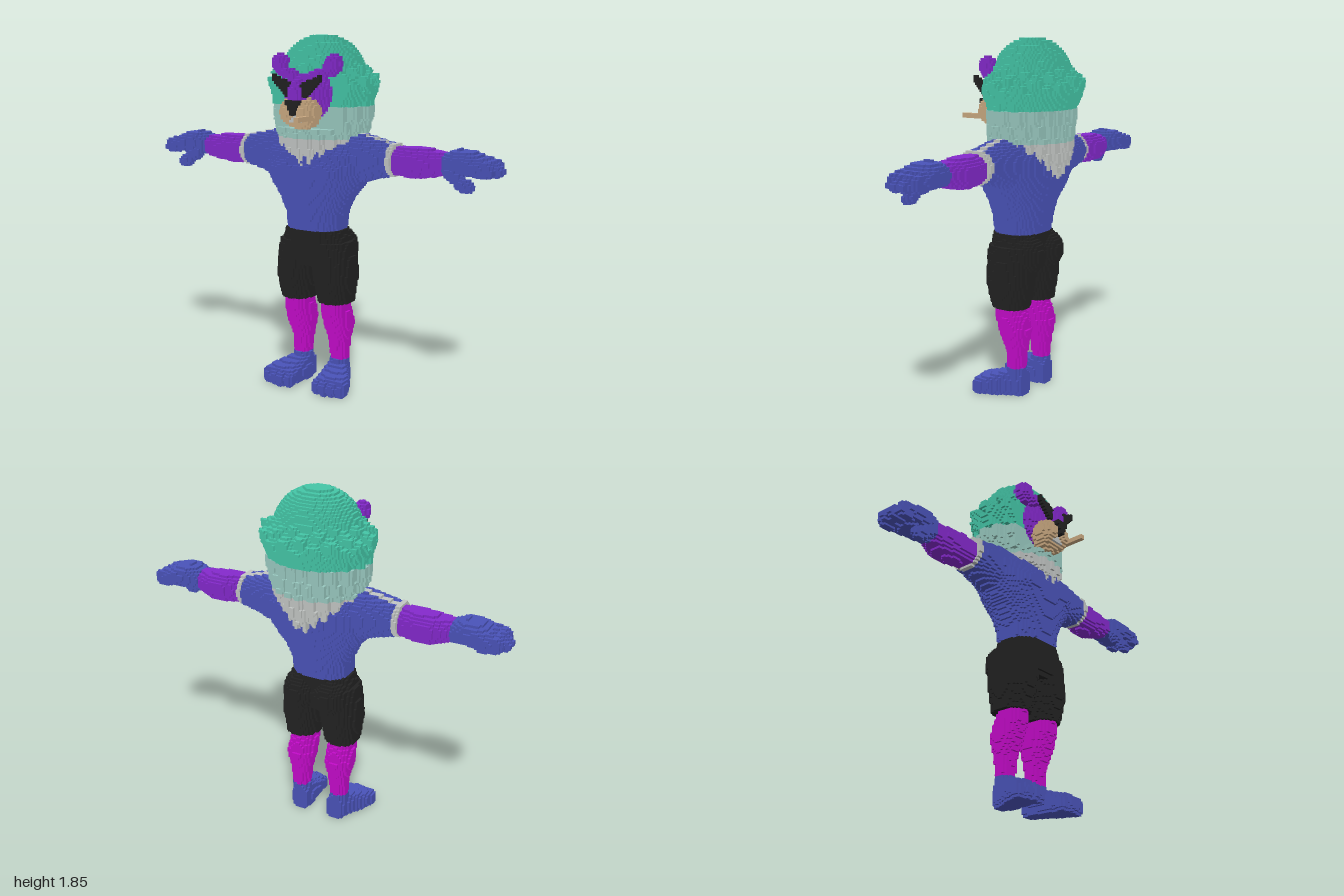
import * as THREE from 'three';

// Voxel figure: solids are sampled onto a fine grid, then exposed cube faces become meshes per part.
const S = 0.0125, N = [160, 156, 52], ORIGIN = [-1, 0, -0.325];
const grid = new Uint8Array(N[0] * N[1] * N[2]);
const at = (i, j, k) => (i < 0 || j < 0 || k < 0 || i >= N[0] || j >= N[1] || k >= N[2]) ? 0 : grid[(k * N[1] + j) * N[0] + i];

const colours = {
  blueSkin: 0x4a53b9, purpleSkin: 0x8429cc, magentaSock: 0xc40bca, black: 0x222222,
  tealHair: 0x44c6a7, paleTealHair: 0x99c9c0, greyHair: 0xc2c6c4, tan: 0xcaa981,
};

// Ellipsoid with centre c and radii r, optionally tilted in the front plane
const ball = (c, r, tilt = 0) => {
  const co = Math.cos(tilt), si = Math.sin(tilt);
  return (x, y, z) => {
    const dx = x - c[0], dy = y - c[1];
    return ((dx * co + dy * si) / r[0]) ** 2 + ((dy * co - dx * si) / r[1]) ** 2 + ((z - c[2]) / r[2]) ** 2 < 1;
  };
};
const box = (a, b) => (x, y, z) => x > a[0] && x < b[0] && y > a[1] && y < b[1] && z > a[2] && z < b[2];
const any = (...tests) => (x, y, z) => tests.some(t => t(x, y, z));

// Interpolates stations [t, centreA, centreB, halfA, halfB]
function sample(st, t) {
  if (t < st[0][0] || t > st[st.length - 1][0]) return null;
  let i = 1;
  while (i < st.length - 1 && st[i][0] < t) i++;
  const f = (t - st[i - 1][0]) / (st[i][0] - st[i - 1][0]);
  return st[i].map((b, n) => st[i - 1][n] + (b - st[i - 1][n]) * f);
}
// Rounded cross-sections swept along one axis
const loft = (axis, st, power = 2.3) => (x, y, z) => {
  const [t, a, b] = axis === 'y' ? [y, x, z] : axis === 'x' ? [x, y, z] : [z, x, y];
  const s = sample(st, t);
  return !!s && Math.abs((a - s[1]) / s[3]) ** power + Math.abs((b - s[2]) / s[4]) ** power < 1;
};

export function createModel() {
  grid.fill(0);
  const parts = [null];
  const mats = {};
  for (const [name, color] of Object.entries(colours)) {
    mats[name] = new THREE.MeshStandardMaterial({ color });
    mats[name].name = name;
  }
  const paint = (name, mat, test) => {
    const id = name ? parts.push({ name, mat }) - 1 : 0;
    for (let k = 0; k < N[2]; k++) for (let j = 0; j < N[1]; j++) for (let i = 0; i < N[0]; i++)
      if (test(ORIGIN[0] + (i + 0.5) * S, (j + 0.5) * S, ORIGIN[2] + (k + 0.5) * S)) grid[(k * N[1] + j) * N[0] + i] = id;
  };
  const pair = (name, mat, test) => {
    paint('left' + name, mat, (x, y, z) => x > 0 && test(x, y, z));
    paint('right' + name, mat, (x, y, z) => x < 0 && test(-x, y, z));
  };

  // Feet with four toes
  const toes = [0, 1, 2, 3].map(i => ball([0.088 + i * 0.045, 0.04, 0.142 - Math.abs(i - 1) * 0.012], [0.027, 0.042, 0.036]));
  pair('Foot', 'blueSkin', any(
    loft('z', [[-0.105, 0.105, 0.06, 0.045, 0.06], [-0.03, 0.115, 0.062, 0.06, 0.075], [0.04, 0.14, 0.055, 0.085, 0.06],
      [0.1, 0.158, 0.048, 0.094, 0.05], [0.14, 0.16, 0.045, 0.09, 0.045]], 3),
    loft('y', [[0.04, 0.11, -0.045, 0.052, 0.06], [0.15, 0.115, -0.05, 0.046, 0.046]]), ...toes));

  // Lower legs
  pair('Shin', 'magentaSock', loft('y', [[0.145, 0.115, -0.052, 0.044, 0.042], [0.25, 0.113, -0.053, 0.053, 0.05],
    [0.35, 0.115, -0.043, 0.075, 0.08], [0.42, 0.112, -0.022, 0.07, 0.085], [0.49, 0.112, 0, 0.063, 0.073]]));

  // Shorts: legs, hips and seat
  const shortLeg = loft('y', [[0.475, 0.115, -0.015, 0.084, 0.095], [0.6, 0.112, -0.012, 0.104, 0.122], [0.72, 0.1, -0.015, 0.108, 0.13], [0.8, 0.09, -0.015, 0.105, 0.125]]);
  const hips = loft('y', [[0.68, 0, -0.012, 0.2, 0.115], [0.75, 0, -0.012, 0.2, 0.128], [0.86, 0, -0.012, 0.158, 0.128]], 2.6);
  const seat = ball([0.085, 0.755, -0.095], [0.095, 0.1, 0.092]);
  paint('shorts', 'black', (x, y, z) => {
    const a = Math.abs(x);
    return hips(x, y, z) || (shortLeg(a, y, z) && (a > 0.0125 || y > 0.68)) || seat(a, y, z);
  });

  // Torso with chest
  const chest = ball([0.105, 1.17, 0.05], [0.13, 0.085, 0.105]);
  const trunk = loft('y', [[0.86, 0, -0.012, 0.152, 0.125], [0.95, 0, -0.014, 0.157, 0.138], [1.03, 0, -0.016, 0.195, 0.152],
    [1.1, 0, -0.024, 0.25, 0.17], [1.18, 0, -0.032, 0.3, 0.18], [1.26, 0, -0.04, 0.3, 0.17], [1.32, 0, -0.055, 0.27, 0.13], [1.37, 0, -0.07, 0.2, 0.07]], 2.4);
  paint('torso', 'blueSkin', (x, y, z) => trunk(x, y, z) || chest(Math.abs(x), y, z));

  // Arms, shoulder straps and bands
  const shoulder = loft('x', [[0.12, 1.25, -0.05, 0.11, 0.12], [0.27, 1.24, -0.045, 0.118, 0.115], [0.34, 1.243, -0.042, 0.1, 0.103], [0.43, 1.243, -0.04, 0.078, 0.092]]);
  pair('Shoulder', 'blueSkin', shoulder);
  pair('ShoulderStrap', 'greyHair', (x, y, z) => x > 0.2 && y > 1.29 && z > -0.057 && z < -0.02 && shoulder(x, y, z));
  pair('ArmBand', 'greyHair', loft('x', [[0.42, 1.245, -0.038, 0.082, 0.097], [0.445, 1.245, -0.038, 0.08, 0.095]]));
  pair('Forearm', 'purpleSkin', loft('x', [[0.445, 1.24, -0.035, 0.068, 0.075], [0.54, 1.24, -0.048, 0.076, 0.088],
    [0.62, 1.24, -0.053, 0.07, 0.086], [0.71, 1.243, -0.038, 0.052, 0.066]]));
  const fingers = [-0.105, -0.06, -0.014, 0.03].map((z, i) => any(
    ball([0.89, 1.245, z], [0.085, 0.04, 0.028]),
    ball([[0.92, 0.945, 0.945, 0.925][i], 1.226, z], [0.055, 0.031, 0.025])));
  pair('Hand', 'blueSkin', any(
    loft('x', [[0.71, 1.245, -0.038, 0.053, 0.066], [0.78, 1.26, -0.04, 0.06, 0.09], [0.85, 1.255, -0.04, 0.056, 0.1], [0.9, 1.25, -0.04, 0.04, 0.095]], 2.5),
    ball([0.775, 1.2, 0.02], [0.055, 0.035, 0.035], -0.5), ball([0.83, 1.16, 0.03], [0.055, 0.034, 0.028], -0.35), ...fingers));

  // Mane: a rounded crown covered in evenly spread pointed tufts
  const tufts = [];
  for (let i = 0; i < 130; i++) {
    const y = 1 - (i + 0.5) / 65, r = Math.sqrt(1 - y * y), a = i * 2.39996;
    tufts.push([r * Math.cos(a), y, r * Math.sin(a)]);
  }
  const crown = (x, y, z) => {
    if (y < 1.48) return false;
    const v = [x / 0.235, (y - 1.655) / 0.212, (z + 0.07) / 0.195];
    const len = Math.hypot(...v);
    if (len < 0.94) return true;
    if (len > 1.3) return false;
    let best = -1;
    for (const t of tufts) best = Math.max(best, (v[0] * t[0] + (v[1] - 0.06) * t[1] + v[2] * t[2]) / len);
    return len < 1.27 - 1.7 * Math.acos(Math.min(1, best));
  };
  // Hanging locks with a ragged lower edge, longest at the chin and nape
  const locks = [[1.15, 0, -0.06, 0.17, 0.17], [1.25, 0, -0.06, 0.2, 0.2], [1.34, 0, -0.06, 0.23, 0.205], [1.45, 0, -0.065, 0.265, 0.195], [1.56, 0, -0.07, 0.265, 0.195]];
  const hanging = (x, y, z) => {
    const s = sample(locks, y);
    if (!s) return false;
    const a = Math.atan2(x, z + 0.06), ripple = 1 + 0.05 * Math.sin(a * 19 + Math.floor(y * 14) * 1.7);
    const low = (z > 0 ? 1.2 + Math.abs(x) * 0.6 : z < -0.15 ? 1.17 + Math.abs(x) * 0.75 : 1.31) + 0.025 * Math.sin(a * 23);
    return y > low && Math.hypot(x / s[3], (z - s[2]) / s[4]) < ripple;
  };
  paint('crownMane', 'tealHair', (x, y, z) => y > 1.5 && (crown(x, y, z) || hanging(x, y, z)));
  paint('middleMane', 'paleTealHair', (x, y, z) => y > 1.335 && y <= 1.5 && hanging(x, y, z));
  paint('beardAndNape', 'greyHair', (x, y, z) => y <= 1.335 && hanging(x, y, z));
  paint(null, null, (x, y, z) => y > 1.39 && y < 1.69 - Math.max(0, 0.04 - Math.abs(x)) && z > 0.08);

  // Face
  const face = ball([0, 1.565, 0.05], [0.138, 0.14, 0.115]);
  paint('face', 'purpleSkin', any((x, y, z) => y < 1.665 && face(x, y, z), ball([0, 1.56, 0.17], [0.048, 0.075, 0.06])));
  pair('Brow', 'purpleSkin', ball([0.075, 1.655, 0.115], [0.078, 0.028, 0.05], 0.3));
  pair('Ear', 'purpleSkin', ball([0.152, 1.705, 0.09], [0.042, 0.056, 0.05], -0.3));
  pair('Muzzle', 'tan', ball([0.048, 1.478, 0.15], [0.052, 0.07, 0.075]));
  paint('chin', 'tan', ball([0, 1.425, 0.13], [0.078, 0.036, 0.06]));
  paint('teeth', 'greyHair', box([-0.04, 1.43, 0.12], [0.04, 1.476, 0.2]));
  paint('nose', 'black', (x, y, z) => y > 1.46 && y < 1.535 && z > 0.15 && z < 0.237 && Math.abs(x) < (y - 1.452) * 0.5);
  paint('cigar', 'tan', box([0.06, 1.434, 0.15], [0.093, 1.467, 0.31]));

  // Angular sunglasses
  paint('sunglasses', 'black', (x, y, z) => {
    const a = Math.abs(x);
    return z > 0.172 && z < 0.202 && a < 0.14 && y < 1.605 + a * 0.4 && y > (a < 0.02 ? 1.585 : 1.545 + Math.max(0, a - 0.05) * 0.95);
  });

  // Collect the exposed cube faces of every part
  const data = parts.map(() => ({ pos: [], nor: [], idx: [] }));
  for (let k = 0; k < N[2]; k++) for (let j = 0; j < N[1]; j++) for (let i = 0; i < N[0]; i++) {
    const id = at(i, j, k);
    if (!id) continue;
    const c = [i, j, k], { pos, nor, idx } = data[id];
    for (let d = 0; d < 3; d++) for (const side of [-1, 1]) {
      const n = [0, 0, 0];
      n[d] = side;
      if (at(i + n[0], j + n[1], k + n[2])) continue;
      const base = pos.length / 3;
      for (const [u, v] of [[0, 0], [1, 0], [1, 1], [0, 1]]) {
        const p = [...c];
        p[d] += side > 0 ? 1 : 0;
        p[(d + 1) % 3] += u;
        p[(d + 2) % 3] += v;
        pos.push(...p.map((q, m) => ORIGIN[m] + q * S));
        nor.push(...n);
      }
      idx.push(...(side > 0 ? [0, 1, 2, 0, 2, 3] : [0, 2, 1, 0, 3, 2]).map(q => base + q));
    }
  }
  const group = new THREE.Group();
  group.name = 'maned figure';
  parts.forEach((part, id) => {
    if (!part || !data[id].idx.length) return;
    const g = new THREE.BufferGeometry();
    g.setAttribute('position', new THREE.Float32BufferAttribute(data[id].pos, 3));
    g.setAttribute('normal', new THREE.Float32BufferAttribute(data[id].nor, 3));
    g.setIndex(data[id].idx);
    const mesh = new THREE.Mesh(g, mats[part.mat]);
    mesh.name = part.name;
    group.add(mesh);
  });
  return group;
}
